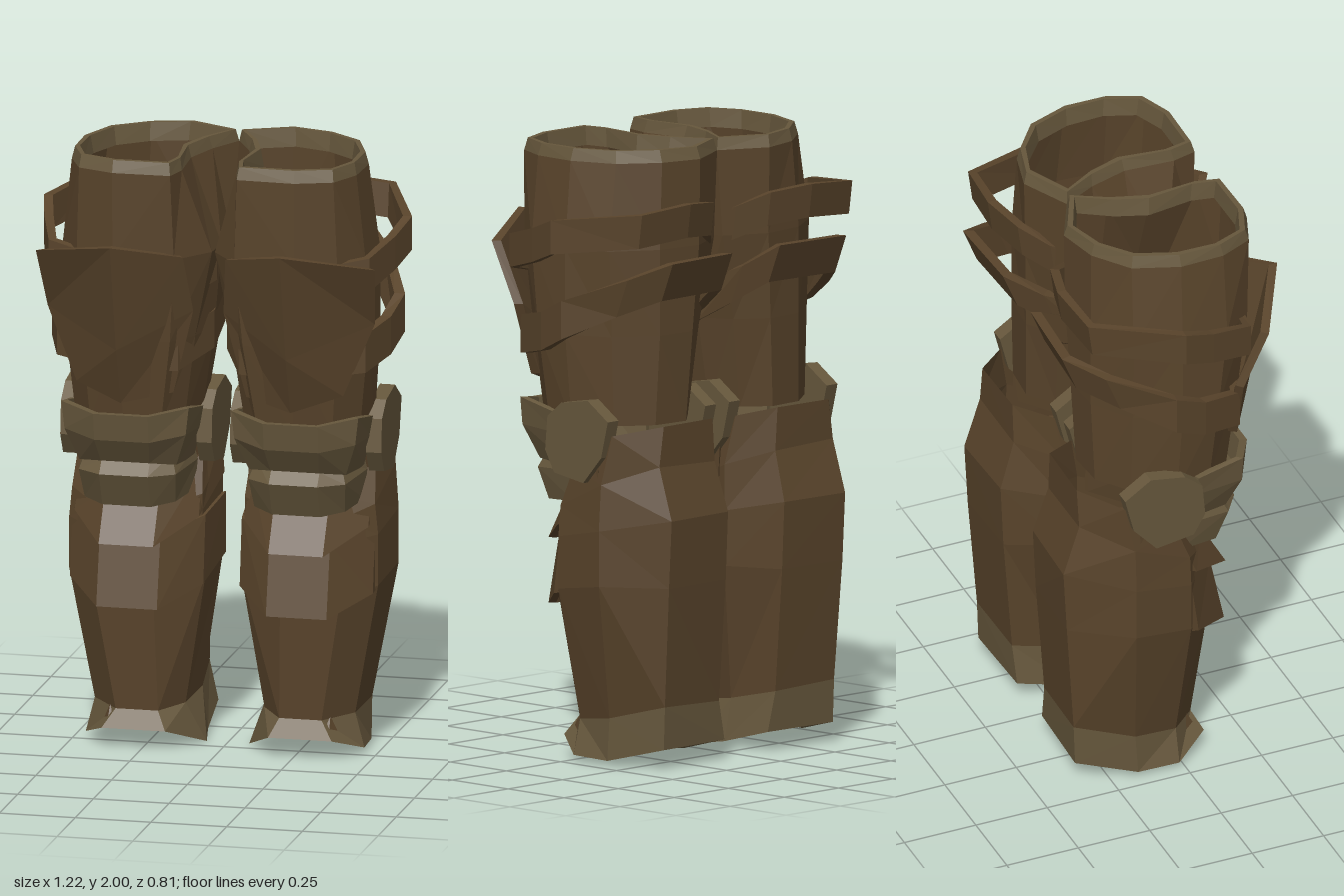
import * as THREE from 'three';

const material = (color) => new THREE.MeshStandardMaterial({ color, flatShading: true, side: THREE.DoubleSide });
const leather = material(0x59442b);
const trim = material(0x66573c);
const CX = 0.28, CZ = -0.05; // axis of one leg

// Skin between cross-section rings, ordered front -> outside -> back and top -> bottom
function loft(rings, capEnds = false) {
  const pos = [], n = rings[0].length;
  const quad = (a, b, c, d) => pos.push(...a, ...d, ...c, ...a, ...c, ...b);
  for (let i = 0; i < rings.length - 1; i++) {
    for (let j = 0; j < n; j++) {
      const k = (j + 1) % n;
      quad(rings[i][j], rings[i][k], rings[i + 1][k], rings[i + 1][j]);
    }
  }
  if (capEnds) { // rings made of an outer row followed by the reversed inner row
    const top = rings[0], end = rings[rings.length - 1];
    for (let j = 0; j < n / 2 - 1; j++) {
      quad(top[n - 1 - j], top[n - 2 - j], top[j + 1], top[j]);
      quad(end[j], end[j + 1], end[n - 2 - j], end[n - 1 - j]);
    }
  }
  const g = new THREE.BufferGeometry();
  g.setAttribute('position', new THREE.Float32BufferAttribute(pos, 3));
  g.computeVertexNormals();
  return g;
}

// Move points toward the leg axis by d, and vertically by dy
const inset = (pts, d, dy = 0) => pts.map(([x, y, z]) => {
  const l = Math.hypot(x - CX, z - CZ) || 1;
  return [x - (x - CX) / l * d, y + dy, z - (z - CZ) / l * d];
});

// Thin curved plate of even thickness
const shell = (rows, d = 0.025) => loft(rows.map((r) => [...r, ...inset(r, d).reverse()]), true);

// Closed band following a path around the leg, its lower edge tucked in at the back
const band = (path, h, d, tuck) => {
  const up = inset(path, 0, h / 2);
  const low = path.map(([x, y, z]) => [x, y - h / 2, z < -0.2 ? z + tuck : z]);
  return loft([up, low, inset(low, d), inset(up, d), up]);
};

// Row mirrored about the leg axis from its inner half
const symmetric = (half) => [...half, ...half.map(([x, y, z]) => [2 * CX - x, y, z]).reverse()];

const level = (y, pts) => pts.map(([x, z]) => [x, y, z]);

function createLeg() {
  const leg = new THREE.Group();
  const add = (name, geometry, mat = leather) => {
    const m = new THREE.Mesh(geometry, mat);
    m.name = name;
    leg.add(m);
    return m;
  };

  // Thigh sleeve, with a turned-in lower lip
  const rim = level(1.96, [[0.11, 0.28], [0.3, 0.285], [0.42, 0.24], [0.47, 0.13], [0.475, -0.02], [0.42, -0.17],
    [0.3, -0.26], [0.16, -0.295], [0, -0.215], [0.06, -0.1], [0.1, 0.03], [0.09, 0.2]]);
  const middle = level(1.68, [[0.1, 0.27], [0.3, 0.28], [0.43, 0.23], [0.5, 0.13], [0.51, -0.03], [0.46, -0.18],
    [0.32, -0.27], [0.16, -0.29], [0.02, -0.22], [0, -0.1], [0, 0.03], [0.005, 0.14]]);
  const lower = level(1.4, [[0.12, 0.24], [0.29, 0.25], [0.42, 0.2], [0.5, 0.1], [0.51, -0.03], [0.45, -0.18],
    [0.32, -0.27], [0.18, -0.28], [0.08, -0.21], [0.03, -0.1], [0.025, 0.02], [0.06, 0.14]]);
  const hem = level(1.11, [[0.16, 0.2], [0.28, 0.21], [0.4, 0.17], [0.47, 0.08], [0.49, -0.04], [0.44, -0.18],
    [0.33, -0.26], [0.2, -0.27], [0.12, -0.2], [0.08, -0.1], [0.07, 0], [0.1, 0.12]]);
  add('thighSleeve', loft([rim, middle, lower, hem, inset(hem, 0.04, 0.02)]));
  add('thighRim', loft([inset(rim, 0.04, -0.02), inset(rim, 0.03, 0.04), inset(rim, 0.012, 0.04), rim]), trim);

  // Pointed thigh plate
  add('thighPlate', shell([
    [[0.07, 1.69, 0.27], [0.28, 1.74, 0.4], [0.56, 1.68, 0.25]],
    [[0.05, 1.5, 0.21], [0.28, 1.38, 0.315], [0.54, 1.48, 0.17]],
    [[0.12, 1.22, 0.19], [0.28, 1.19, 0.25], [0.44, 1.24, 0.19]],
  ], 0.03));

  // Slanted straps
  add('upperStrap', band([[0.3, 1.6, 0.25], [0.53, 1.65, 0.2], [0.58, 1.69, 0.05], [0.608, 1.73, -0.06],
    [0.485, 1.765, -0.35], [0.28, 1.78, -0.37], [0.13, 1.765, -0.33], [0.05, 1.72, -0.25], [0.01, 1.68, -0.1],
    [0.01, 1.62, 0.05], [0.1, 1.58, 0.24]], 0.11, 0.03, 0.015));
  add('lowerStrap', band([[0.3, 1.36, 0.25], [0.51, 1.38, 0.17], [0.56, 1.41, 0.03], [0.58, 1.46, -0.08],
    [0.49, 1.54, -0.29], [0.4, 1.595, -0.405], [0.11, 1.595, -0.39], [0.06, 1.52, -0.27], [0.02, 1.45, -0.1],
    [0.02, 1.4, 0.04], [0.1, 1.36, 0.21]], 0.125, 0.035, 0.05));

  // Knee guard: upper cup and lower cup, with a recess between
  add('kneePlate', shell([
    symmetric([[0.06, 1.14, 0.03], [0.07, 1.17, 0.19], [0.19, 1.15, 0.255]]),
    symmetric([[0.07, 1.07, 0.02], [0.08, 1.08, 0.19], [0.19, 1.06, 0.24]]),
    symmetric([[0.1, 0.96, -0.01], [0.12, 0.97, 0.15], [0.2, 0.98, 0.19]]),
  ]), trim);
  add('kneeLowerPlate', shell([
    symmetric([[0.1, 0.99, -0.02], [0.14, 1.0, 0.13], [0.2, 0.98, 0.18]]),
    symmetric([[0.09, 0.95, -0.02], [0.12, 0.94, 0.16], [0.2, 0.94, 0.215]]),
    symmetric([[0.1, 0.85, -0.02], [0.13, 0.84, 0.12], [0.2, 0.83, 0.17]]),
  ]), trim);

  // Octagonal hinge plates either side of the knee
  const outline = [[0.03, 1.13], [-0.03, 1.18], [-0.15, 1.2], [-0.24, 1.14], [-0.21, 1.02], [-0.13, 0.93], [0, 0.95], [0.04, 1.02]];
  const hinge = new THREE.ExtrudeGeometry(
    new THREE.Shape(outline.map(([z, y]) => new THREE.Vector2(-z, y))), { depth: 0.05, bevelEnabled: false });
  hinge.rotateY(Math.PI / 2);
  add('outerKneeHinge', hinge, trim).position.x = 0.48;
  add('innerKneeHinge', hinge, trim).position.x = 0.03;

  // Shin guard with a flat calf, raised behind the knee
  const ankle = [[0.2, 0.13, 0.07], [0.34, 0.13, 0.07], [0.43, 0.14, -0.02], [0.45, 0.16, -0.17],
    [0.39, 0.21, -0.36], [0.13, 0.2, -0.35], [0.11, 0.16, -0.17], [0.13, 0.14, -0.02]];
  add('shinGuard', loft([
    [[0.2, 0.88, 0.06], [0.38, 0.88, 0.06], [0.49, 0.97, -0.05], [0.5, 1.09, -0.23],
      [0.38, 1.12, -0.345], [0.15, 1.12, -0.34], [0.07, 1.09, -0.23], [0.08, 0.97, -0.05]],
    [[0.2, 0.8, 0.08], [0.4, 0.8, 0.08], [0.5, 0.84, 0], [0.52, 0.93, -0.2],
      [0.4, 0.99, -0.345], [0.14, 0.98, -0.34], [0.05, 0.93, -0.2], [0.07, 0.84, 0]],
    [[0.2, 0.72, 0.09], [0.4, 0.72, 0.09], [0.51, 0.74, 0], [0.53, 0.78, -0.2],
      [0.4, 0.82, -0.4], [0.13, 0.82, -0.39], [0.05, 0.78, -0.2], [0.07, 0.74, 0]],
    [[0.21, 0.55, 0.1], [0.41, 0.55, 0.1], [0.51, 0.57, 0], [0.53, 0.6, -0.2],
      [0.4, 0.6, -0.388], [0.13, 0.6, -0.38], [0.05, 0.6, -0.2], [0.06, 0.57, 0]],
    ankle,
  ]));

  // Overlapping flaps wrapping the front of the shin
  add('upperShinFlap', shell([
    symmetric([[0.05, 1.0, -0.18], [0.08, 0.92, -0.04], [0.19, 0.86, 0.09]]),
    symmetric([[0.04, 0.87, -0.18], [0.075, 0.77, 0.03], [0.19, 0.7, 0.18]]),
  ]));
  add('lowerShinFlap', shell([
    symmetric([[0.04, 0.8, -0.2], [0.06, 0.77, 0.0], [0.18, 0.73, 0.12]]),
    symmetric([[0.04, 0.6, -0.2], [0.06, 0.55, 0.03], [0.18, 0.49, 0.17]]),
  ]));

  // Flared ankle cuff, folded inward to a small opening
  const cuff = [[0.17, 0.07, 0.1], [0.38, 0.07, 0.1], [0.46, 0.025, -0.02], [0.45, 0.02, -0.16],
    [0.39, 0.07, -0.355], [0.1, 0.07, -0.345], [0.09, 0.02, -0.16], [0.07, 0.005, -0.06]];
  const opening = [[0.2, 0], [0.36, 0], [0.38, -0.04], [0.39, -0.1], [0.34, -0.17],
    [0.23, -0.17], [0.175, -0.1], [0.19, -0.04]];
  add('ankleCuff', loft([ankle, cuff, inset(cuff, 0.025, 0.01)]), trim);
  add('ankleLining', loft([inset(cuff, 0.025, 0.01), level(0.22, opening)]));
  return leg;
}

export function createModel() {
  const model = new THREE.Group();
  model.name = 'legArmour';
  const left = createLeg();
  left.name = 'leftLeg';
  const right = createLeg();
  right.name = 'rightLeg';
  right.scale.x = -1;
  model.add(left, right);
  return model;
}
